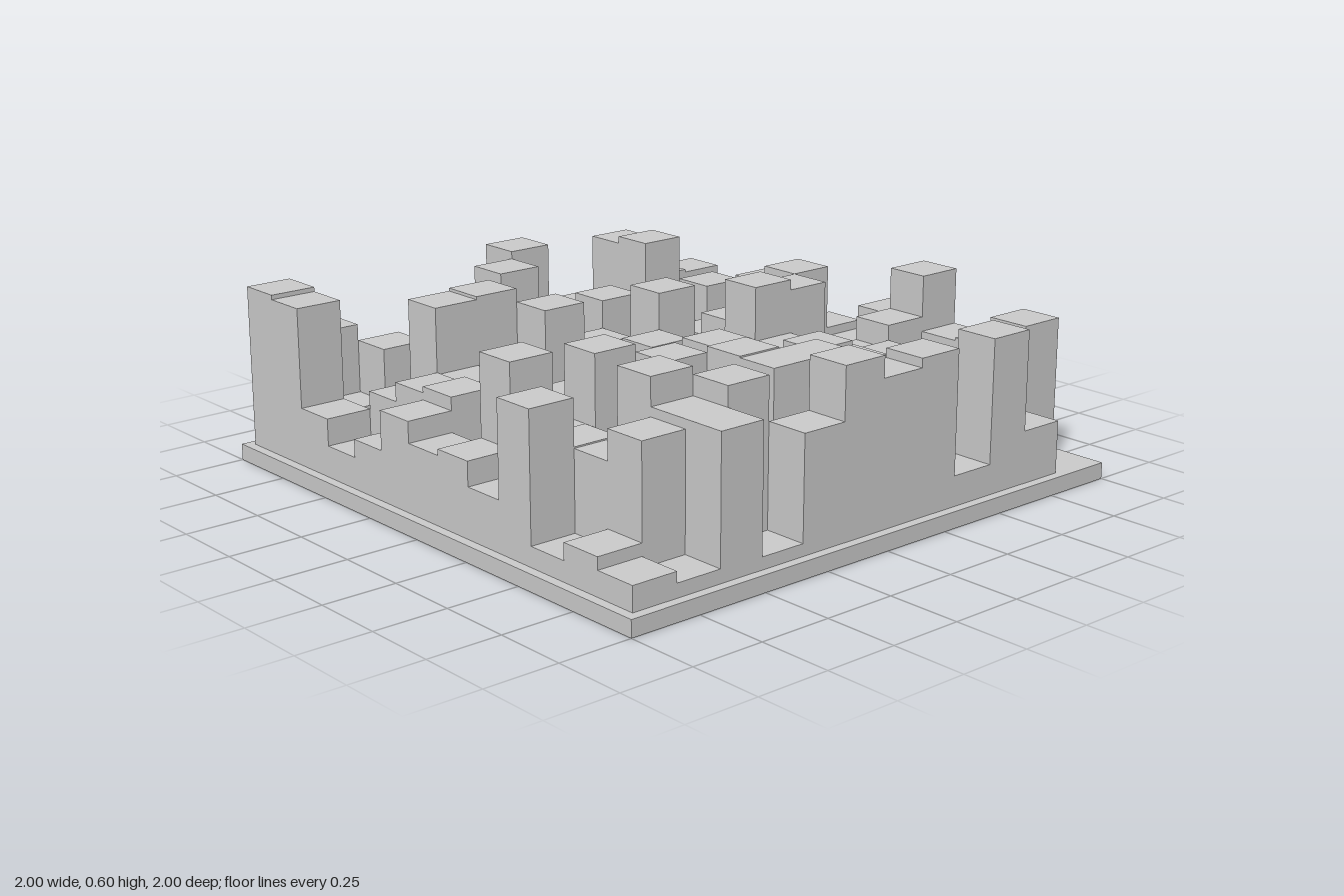
import * as THREE from 'three';

const COLS = 12, ROWS = 13, SPAN = 1.935, BASE = 0.055;

// block heights around the rim (columns run -x to +x, rows run -z to +z)
const backRow = [0.595, 0.44, 0.29, 0.1, 0.25, 0.26, 0.585, 0.2, 0.34, 0.54, 0.39, 0.38];
const frontRow = [0.135, 0.1, 0.505, 0.095, 0.43, 0.6, 0.53, 0.56, 0.155, 0.56, 0.23, 0];
const leftColumn = [0.595, 0.58, 0.25, 0.16, 0.22, 0.35, 0.28, 0.3, 0.22, 0.53, 0.12, 0.175, 0.135];
const rightColumn = [0.38, 0.105, 0.215, 0.195, 0.11, 0.32, 0.29, 0.43, 0.59, 0.4, 0.41, 0.51, 0];
const nextToRight = [0.39, 0.31, 0.41, 0.285, 0.48, 0.54, 0.25, 0.3, 0.45, 0.33, 0.35, 0.275, 0.23];

// taller inner blocks, as 'row,column'
const peaks = {
  '1,9': 0.565, '1,5': 0.56, '2,7': 0.44, '2,3': 0.5, '3,2': 0.585, '3,3': 0.595,
  '4,7': 0.525, '4,4': 0.55, '6,9': 0.54, '6,8': 0.575,
  '7,6': 0.465, '7,3': 0.535, '7,1': 0.57, '8,4': 0.51,
  '9,8': 0.415, '9,7': 0.49, '9,5': 0.53, '10,8': 0.41, '10,5': 0.525, '10,6': 0.525,
  '10,2': 0.595, '11,1': 0.475, '11,2': 0.505, '11,3': 0.57, '11,8': 0.155,
};

// small seeded generator for the uneven inner field
function seeded(seed) {
  return () => {
    seed = (seed * 1664525 + 1013904223) % 4294967296;
    return seed / 4294967296;
  };
}

export function createModel() {
  const model = new THREE.Group();
  model.name = 'blockRelief';
  const material = new THREE.MeshStandardMaterial({ color: 0xcccccc, flatShading: true });
  const random = seeded(29);

  // square base plate
  const plate = new THREE.Mesh(new THREE.BoxGeometry(2, BASE, 2), material);
  plate.name = 'basePlate';
  plate.position.y = BASE / 2;
  model.add(plate);

  const heightAt = (row, col) => {
    if (row === 0) return backRow[col];
    if (row === ROWS - 1) return frontRow[col];
    if (col === 0) return leftColumn[row];
    if (col === COLS - 1) return rightColumn[row];
    if (col === COLS - 2) return nextToRight[row];
    return peaks[`${row},${col}`] ?? 0.14 + 0.27 * random();
  };

  // field of square columns standing on the plate
  const blocks = new THREE.Group();
  blocks.name = 'blocks';
  const width = SPAN / COLS, depth = SPAN / ROWS;
  for (let row = 0; row < ROWS; row++) {
    for (let col = 0; col < COLS; col++) {
      const top = heightAt(row, col);
      if (top <= BASE) continue;
      const block = new THREE.Mesh(new THREE.BoxGeometry(width, top - BASE, depth), material);
      block.name = `block_${row}_${col}`;
      block.position.set(
        (col + 0.5) * width - SPAN / 2,
        (top + BASE) / 2,
        (row + 0.5) * depth - SPAN / 2
      );
      blocks.add(block);
    }
  }
  model.add(blocks);
  return model;
}
